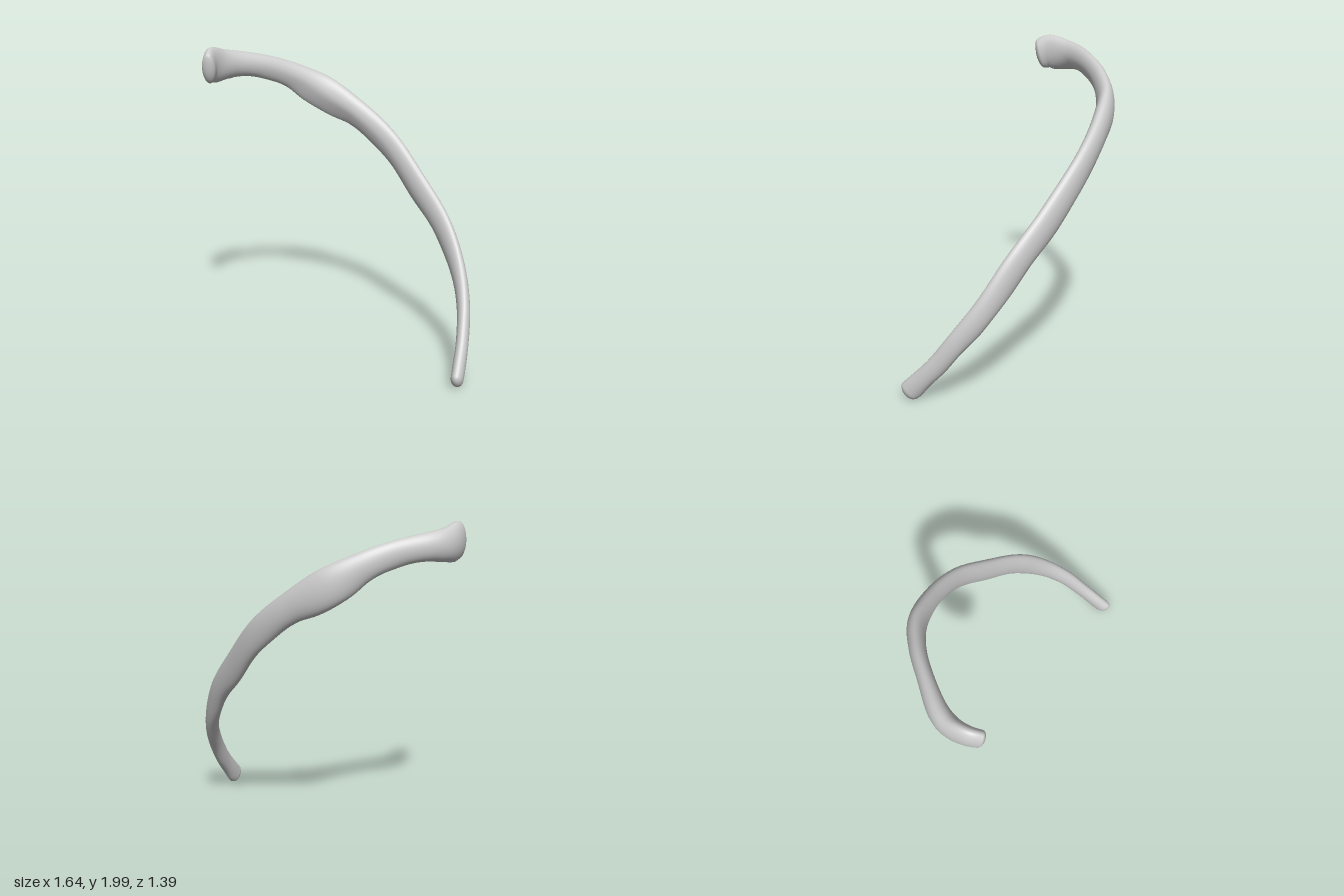
import * as THREE from 'three';

// Stations along the rib, head to tip: centre x, y, z, half height, half thickness
const STATIONS = [
  [-0.79, 1.865, -0.29, 0.09, 0.042],
  [-0.765, 1.885, -0.38, 0.115, 0.05],
  [-0.70, 1.873, -0.47, 0.105, 0.06],
  [-0.62, 1.872, -0.525, 0.088, 0.06],
  [-0.40, 1.838, -0.59, 0.078, 0.048],
  [-0.20, 1.76, -0.63, 0.09, 0.05],
  [0.00, 1.64, -0.63, 0.118, 0.058],
  [0.20, 1.52, -0.55, 0.095, 0.054],
  [0.40, 1.34, -0.41, 0.09, 0.048],
  [0.57, 1.08, -0.20, 0.092, 0.046],
  [0.70, 0.85, 0.01, 0.087, 0.045],
  [0.767, 0.60, 0.20, 0.075, 0.044],
  [0.767, 0.42, 0.35, 0.066, 0.042],
  [0.73, 0.24, 0.49, 0.06, 0.04],
  [0.68, 0.10, 0.61, 0.064, 0.04],
  [0.653, 0.035, 0.668, 0.066, 0.038],
];

const RINGS = 180, SIDES = 28;

// Rounds the ends: 0 at the very end, 1 from distance e inwards
const cap = (d, e) => Math.sqrt(Math.max(0, 1 - Math.max(0, 1 - d / e) ** 2));

function ribGeometry() {
  const path = new THREE.CatmullRomCurve3(STATIONS.map(s => new THREE.Vector3(s[0], s[1], s[2])));
  const size = new THREE.CatmullRomCurve3(STATIONS.map(s => new THREE.Vector3(s[3], s[4], 0)));
  const positions = [], index = [];

  for (let i = 0; i <= RINGS; i++) {
    const u = (1 - Math.cos(Math.PI * i / RINGS)) / 2; // denser at both ends
    const centre = path.getPoint(u), r = size.getPoint(u);
    const along = path.getTangent(u);
    const out = new THREE.Vector3(along.z, 0, -along.x).normalize();
    const up = new THREE.Vector3().crossVectors(along, out);
    const round = cap(u, 0.02) * cap(1 - u, 0.035);
    const groove = Math.exp(-(((u - 0.42) / 0.13) ** 2)); // hollow under the inner lower edge
    for (let j = 0; j < SIDES; j++) {
      const a = 2 * Math.PI * j / SIDES, c = Math.cos(a), s = Math.sin(a);
      let t = r.y * c, w = r.x * s;
      if (s < 0) {
        w *= 1 + 0.04 * Math.sin(u * 75) * s * s; // slightly uneven lower edge
        if (c < 0) t *= 1 + 0.55 * groove * s;
      }
      const p = centre.clone().addScaledVector(out, t * round).addScaledVector(up, w * round);
      positions.push(p.x, p.y, p.z);
      if (i < RINGS) {
        const k = (j + 1) % SIDES, m = i * SIDES, n = m + SIDES;
        index.push(m + j, m + k, n + k, m + j, n + k, n + j);
      }
    }
  }

  const g = new THREE.BufferGeometry();
  g.setAttribute('position', new THREE.Float32BufferAttribute(positions, 3));
  g.setIndex(index);
  g.computeVertexNormals();
  return g;
}

export function createModel() {
  const bone = new THREE.MeshStandardMaterial({ color: 0xcccccc });
  bone.name = 'bone grey';
  const rib = new THREE.Mesh(ribGeometry(), bone);
  rib.name = 'rib';
  const group = new THREE.Group();
  group.name = 'ribBone';
  group.add(rib);
  return group;
}
